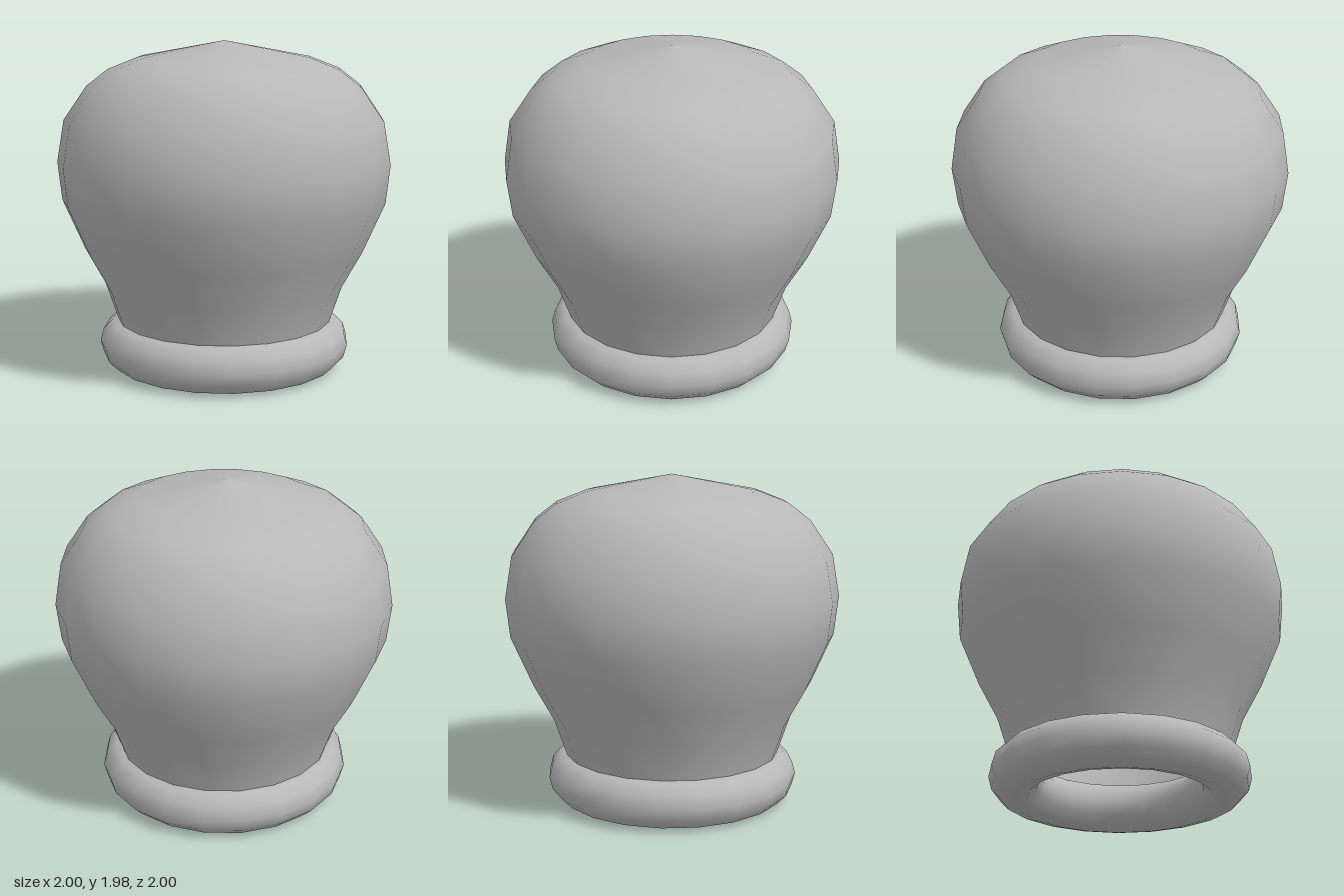
import * as THREE from 'three';

const SIDES = 20;

export function createModel() {
  const model = new THREE.Group();
  const grey = new THREE.MeshStandardMaterial({ color: 0xb8b8b8, side: THREE.DoubleSide });
  grey.name = 'plain grey';

  // Hollow bulb, open at the bottom where it sinks into the ring
  const profile = [
    [0.62, 0.2], [0.655, 0.3], [0.725, 0.51], [0.845, 0.73], [0.975, 1.03], [1, 1.26],
    [0.957, 1.51], [0.82, 1.71], [0.69, 1.81], [0.51, 1.88], [0, 1.975],
  ].map(([r, y]) => new THREE.Vector2(r, y));
  const bulb = new THREE.Mesh(new THREE.LatheGeometry(profile, SIDES), grey);
  bulb.name = 'bulb';

  // Rounded ring around the opening
  const ringGeometry = new THREE.TorusGeometry(0.612, 0.15, 12, SIDES);
  ringGeometry.rotateX(Math.PI / 2).translate(0, 0.15, 0);
  const ring = new THREE.Mesh(ringGeometry, grey);
  ring.name = 'baseRing';

  model.add(bulb, ring);
  return model;
}
